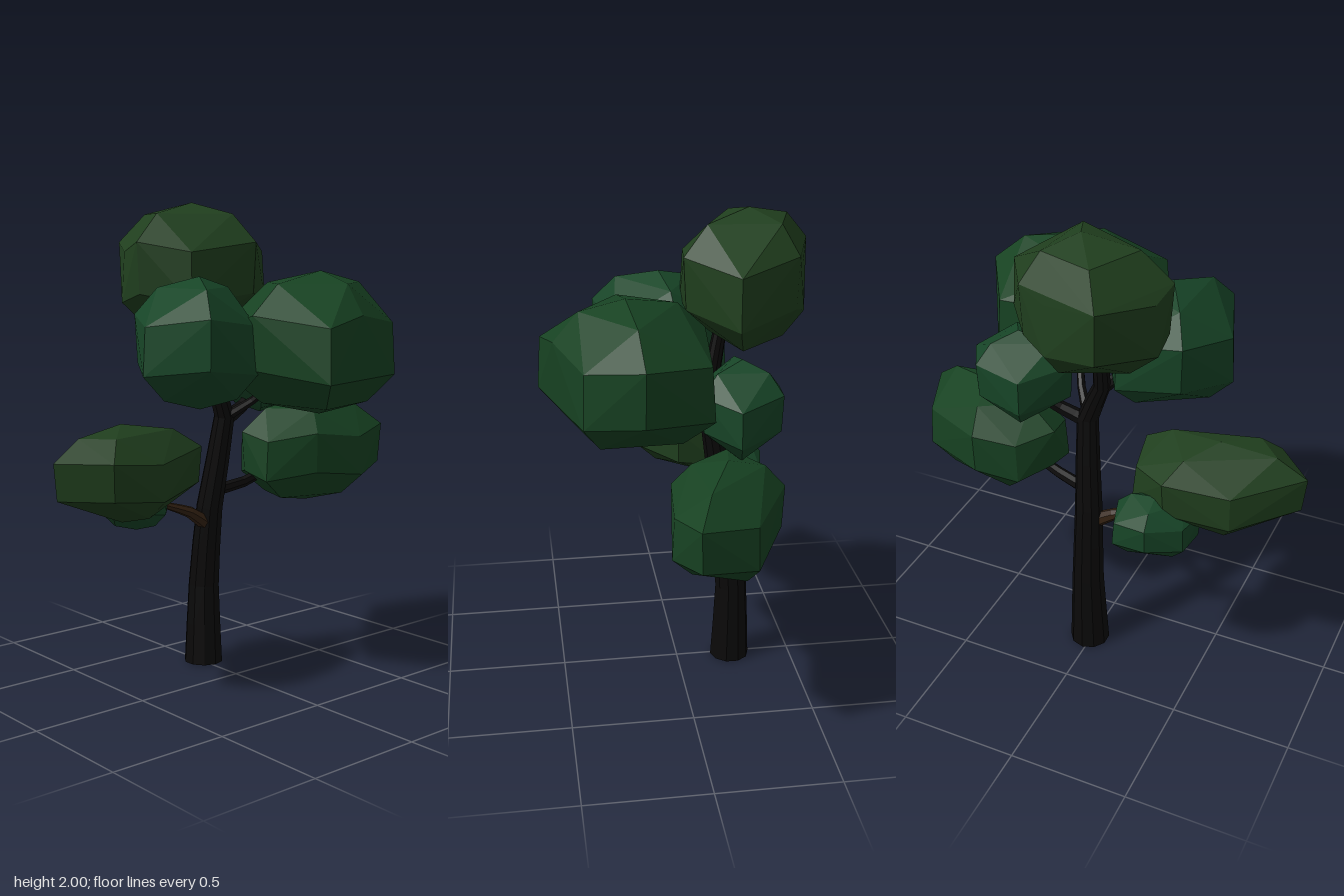
import * as THREE from 'three';
import { ConvexGeometry } from 'three/addons/geometries/ConvexGeometry.js';

const mat = (color) => new THREE.MeshStandardMaterial({ color, flatShading: true });
const olive = mat(0x203f1e);
const green = mat(0x174222);
const teal = mat(0x174527);
const bark = mat(0x0a0909);
const brown = mat(0x352313);

// Faceted leaf clump: hull of a plan outline [x, z], rounded off between two heights
function clump(name, material, bottom, top, outline) {
  const mid = (top + bottom) / 2, half = (top - bottom) / 2;
  const box = new THREE.Box2().setFromPoints(outline.map(([x, z]) => new THREE.Vector2(x, z)));
  const centre = box.getCenter(new THREE.Vector2());
  const points = [];
  const add = ([x, z], scale, t) => points.push(new THREE.Vector3(
    THREE.MathUtils.lerp(centre.x, x, scale), mid + half * t, THREE.MathUtils.lerp(centre.y, z, scale)));
  outline.forEach((p, i) => {
    const even = i % 2 === 0;
    // widest band, staggered up and down
    add(p, even ? 1 : 0.96, even ? 0.42 : 0.28);
    add(p, even ? 0.96 : 1, even ? -0.32 : -0.45);
    // shoulder above or belly below
    add(p, 0.64, even ? 0.83 : -0.83);
  });
  add(outline[0], 0, 1);
  add(outline[0], 0, -1);
  const mesh = new THREE.Mesh(new ConvexGeometry(points), material);
  mesh.name = name;
  return mesh;
}

// Tapered limb along a path of [x, y, z, radius] stations
function limb(name, material, stations, sides = 7) {
  const spans = stations.length - 1, rings = spans * 2;
  const path = new THREE.CatmullRomCurve3(
    stations.map(([x, y, z]) => new THREE.Vector3(x, y, z)), false, 'catmullrom', 0.25);
  // sample by station so that radii line up with points
  path.getPointAt = path.getPoint;
  path.getTangentAt = path.getTangent;
  const geo = new THREE.TubeGeometry(path, rings, 1, sides, false);
  const pos = geo.attributes.position, v = new THREE.Vector3();
  for (let i = 0; i < pos.count; i++) {
    const t = Math.floor(i / (sides + 1)) / rings;
    const s = t * spans, k = Math.min(Math.floor(s), spans - 1);
    const radius = THREE.MathUtils.lerp(stations[k][3], stations[k + 1][3], s - k);
    const centre = path.getPoint(t);
    v.fromBufferAttribute(pos, i).sub(centre).multiplyScalar(radius).add(centre);
    pos.setXYZ(i, v.x, v.y, v.z);
  }
  geo.computeVertexNormals();
  const mesh = new THREE.Mesh(geo, material);
  mesh.name = name;
  return mesh;
}

export function createModel() {
  const tree = new THREE.Group();
  tree.name = 'tree';

  // Trunk, leaning forward, then bending back into the crown
  tree.add(limb('trunk', bark, [
    [0.012, 0, -0.235, 0.085], [0.017, 0.35, -0.237, 0.068], [0.025, 0.7, -0.205, 0.058],
    [0.055, 1.1, -0.14, 0.045], [-0.01, 1.27, -0.14, 0.036], [-0.02, 1.6, -0.2, 0.025],
  ], 10));
  const base = new THREE.Mesh(new THREE.CircleGeometry(0.084, 10), bark);
  base.name = 'trunkBase';
  base.rotation.x = Math.PI / 2;
  base.position.set(0.012, 0.001, -0.235);
  tree.add(base);

  // Branches
  tree.add(
    limb('upperLeftBranch', bark, [[0.05, 1.08, -0.14, 0.034], [0.17, 1.13, -0.16, 0.028], [0.32, 1.22, -0.2, 0.02]]),
    limb('frontBranch', bark, [[0.05, 1.09, -0.14, 0.024], [0.13, 1.17, -0.04, 0.018], [0.22, 1.32, 0.12, 0.013]]),
    limb('upperRightBranch', bark, [[0, 1.24, -0.14, 0.026], [-0.08, 1.32, -0.09, 0.022], [-0.2, 1.42, 0, 0.015]]),
    limb('lowerLeftBranch', bark, [[0.03, 0.77, -0.19, 0.027], [0.18, 0.795, -0.16, 0.024], [0.4, 0.87, -0.13, 0.015]]),
    limb('lowerRightBranch', brown, [[0, 0.63, -0.2, 0.034], [-0.09, 0.69, -0.2, 0.025], [-0.2, 0.73, -0.2, 0.016], [-0.34, 0.78, -0.2, 0.01]]),
  );

  // Leaf clumps
  tree.add(
    clump('topLeaves', olive, 1.43, 2,
      [[-0.34, -0.22], [-0.33, -0.34], [-0.18, -0.565], [0.05, -0.51], [0.17, -0.46], [0.34, -0.2], [0.12, -0.01], [-0.2, -0.04]]),
    clump('frontLeaves', green, 1.13, 1.72,
      [[-0.13, 0.25], [-0.01, 0.565], [0.22, 0.51], [0.51, 0.42], [0.645, 0.2], [0.49, -0.08], [0.1, -0.1], [-0.08, 0.05]]),
    clump('upperRightLeaves', teal, 1.17, 1.7,
      [[-0.39, 0.31], [-0.5, 0.03], [-0.37, -0.2], [-0.1, -0.22], [0.04, 0], [-0.1, 0.25]]),
    clump('backLeaves', teal, 1.09, 1.48,
      [[0.09, -0.2], [0.24, -0.38], [0.44, -0.35], [0.55, -0.17], [0.42, -0.04], [0.19, -0.05]]),
    clump('lowerLeftLeaves', green, 0.68, 1.15,
      [[0.19, -0.18], [0.3, -0.31], [0.48, -0.355], [0.78, -0.2], [0.855, 0.03], [0.65, 0.11], [0.4, 0.08], [0.2, -0.03]]),
    clump('lowerRightLeaves', olive, 0.72, 1.12,
      [[-0.86, -0.06], [-0.62, -0.28], [-0.35, -0.33], [-0.18, -0.22], [-0.16, -0.03], [-0.46, 0.11], [-0.7, 0.11]]),
    clump('smallLeaves', teal, 0.63, 0.91,
      [[-0.48, -0.22], [-0.45, -0.33], [-0.32, -0.425], [-0.17, -0.4], [-0.14, -0.27], [-0.25, -0.16], [-0.4, -0.15]]),
  );
  return tree;
}
